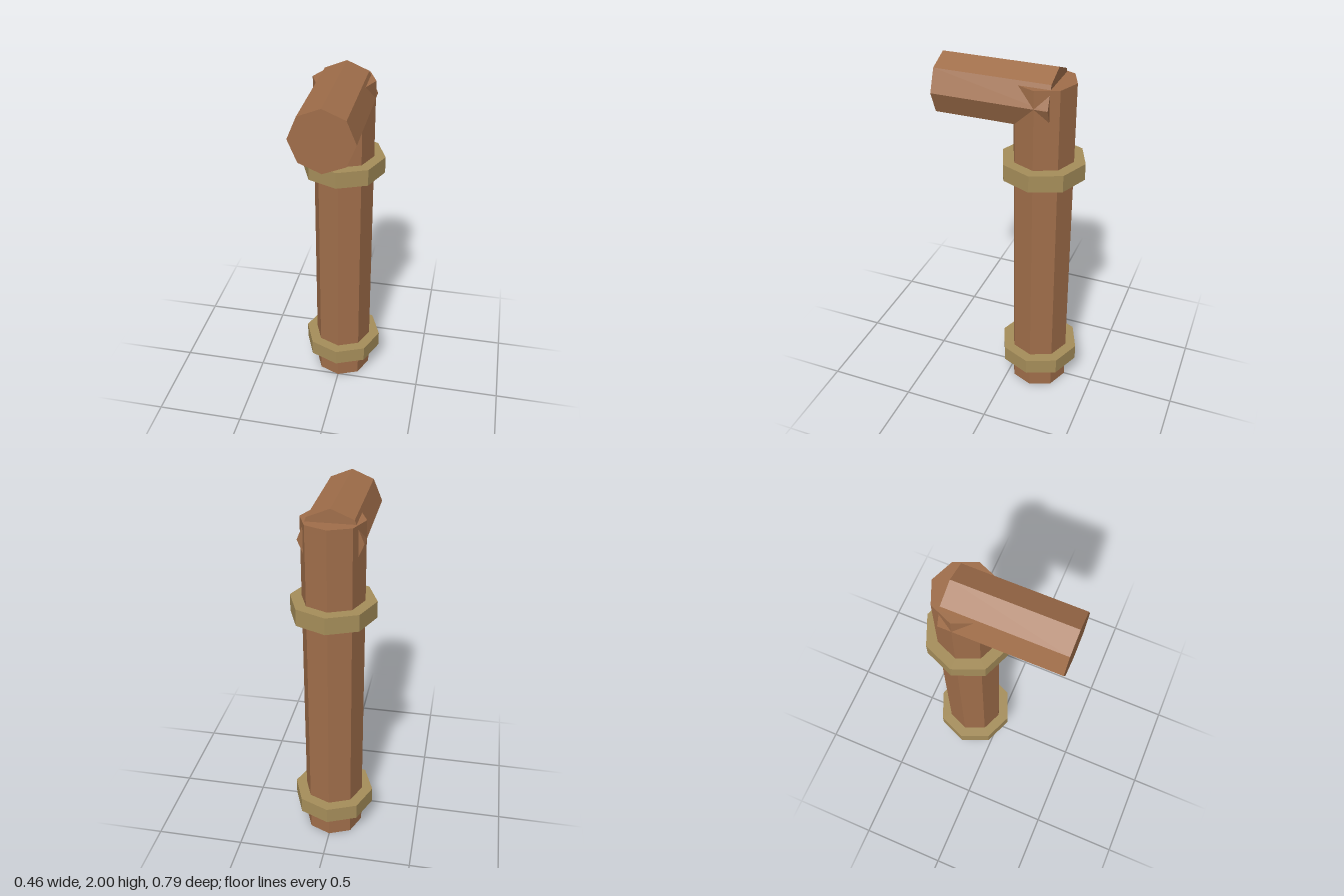
import * as THREE from 'three';

export function createModel() {
  const group = new THREE.Group();
  const copper = new THREE.MeshStandardMaterial({ name: 'copper brown', color: 0xa06e4a, flatShading: true });
  const brass = new THREE.MeshStandardMaterial({ name: 'dull brass', color: 0xa68e5a, flatShading: true });
  const pipeRadius = 0.168;
  const pipeZ = -0.163;

  // Eight-sided solid cylinder centred at the given height and depth
  function octagon(name, radius, length, y, z, material) {
    const mesh = new THREE.Mesh(new THREE.CylinderGeometry(radius, radius, length, 8), material);
    mesh.name = name;
    mesh.position.set(0, y, z);
    group.add(mesh);
    return mesh;
  }

  // Upright pipe
  octagon('uprightPipe', pipeRadius, 1.928, 0.964, pipeZ, copper);

  // Spout pointing forward, with a corner on top
  const spout = octagon('spoutPipe', pipeRadius, 0.628, 2 - pipeRadius, 0.079, copper);
  spout.rotation.x = Math.PI / 2;

  // Collars around the upright pipe
  octagon('lowerCollar', 0.231, 0.094, 0.196, pipeZ, brass);
  octagon('upperCollar', 0.231, 0.094, 1.448, pipeZ, brass);

  return group;
}
